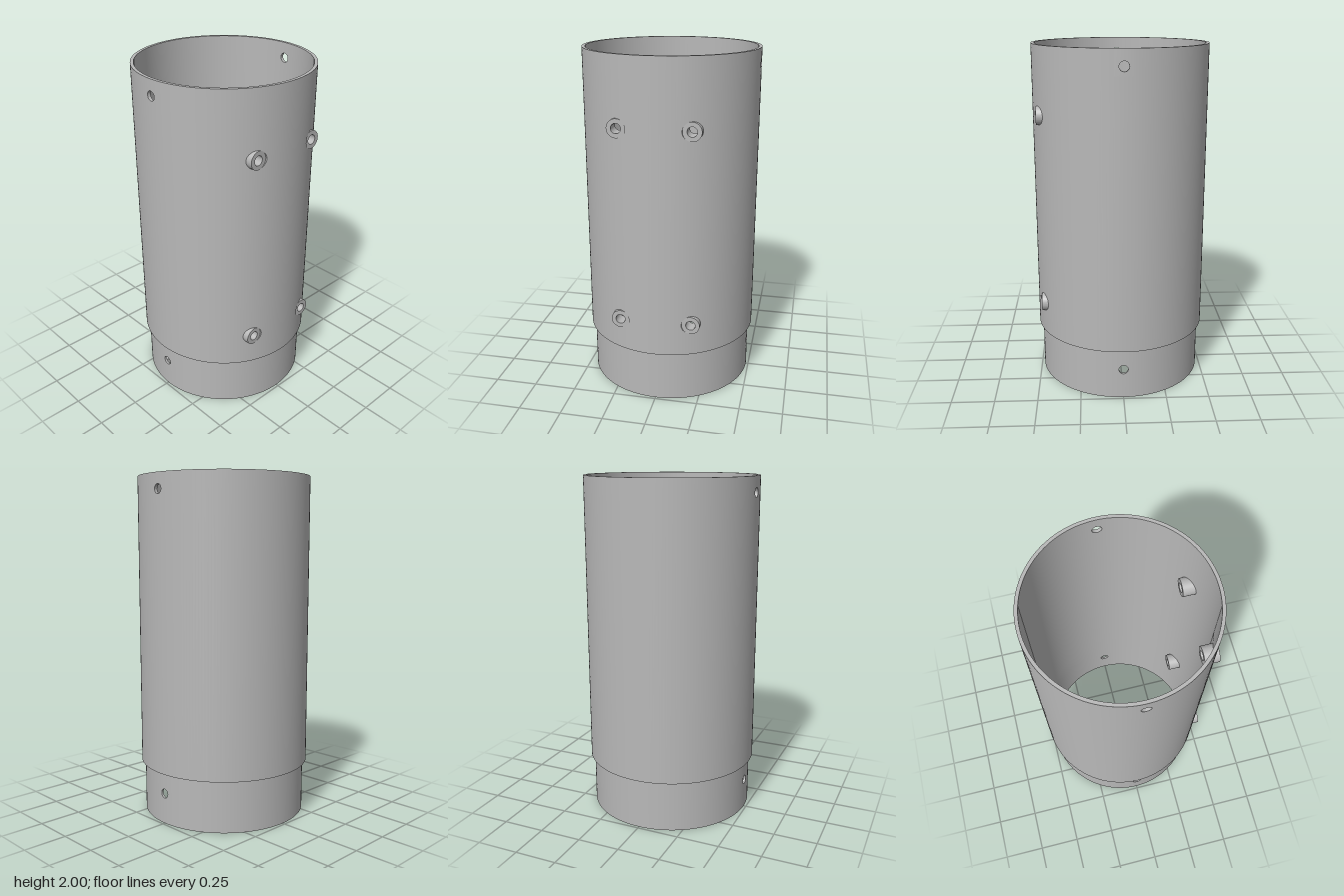
import * as THREE from 'three';

const D = Math.PI / 180, STEP = 2;

// Holes: axis direction, sideways offset, height, radius, and the wall patch around them (degrees, half height)
const pinHoles = (y) => [0, 180].map((axis) => (
  { axis, s: 0, y, rho: 0.027, a0: axis - 6, a1: axis + 6, h: 0.05 }));
const bossHoles = [];
for (const y of [0.495, 1.615]) {
  bossHoles.push({ axis: 90, s: -0.205, y, rho: 0.0525, a0: 56, a1: 76, h: 0.06 });
  bossHoles.push({ axis: 90, s: 0.205, y, rho: 0.0525, a0: 104, a1: 124, h: 0.06 });
}

// Points [angle, height] of a hole's rim on a cylinder of radius r
function rim(hole, r) {
  const n = 4 * (hole.a1 - hole.a0) / STEP, pts = [];
  for (let i = 0; i <= n; i++) {
    const t = (i / n) * 2 * Math.PI - 0.75 * Math.PI;
    pts.push([hole.axis * D + Math.asin((hole.s + hole.rho * Math.cos(t)) / r), hole.y + hole.rho * Math.sin(t)]);
  }
  return pts;
}

// Rectangular border of a hole's patch, matching the rim point for point
function border(hole) {
  const k = (hole.a1 - hole.a0) / STEP, pts = [];
  const c = [[hole.a0, -1], [hole.a1, -1], [hole.a1, 1], [hole.a0, 1], [hole.a0, -1]];
  for (let e = 0; e < 4; e++) for (let i = 0; i < k; i++) {
    const f = i / k;
    pts.push([(c[e][0] + (c[e + 1][0] - c[e][0]) * f) * D, hole.y + hole.h * (c[e][1] + (c[e + 1][1] - c[e][1]) * f)]);
  }
  pts.push(pts[0]);
  return pts;
}

const onWall = ([a, y], r) => [r * Math.sin(a), y, r * Math.cos(a)];

// Round wall skin from y0 to y1, pierced by holes; facing is 1 outwards, -1 inwards
function skin(r0, r1, y0, y1, holes, facing) {
  const pos = [], nor = [];
  const quad = (a, b, c, d) => {
    for (const p of facing > 0 ? [a, b, c, a, c, d] : [a, c, b, a, d, c]) {
      pos.push(...onWall(p, r0 + (r1 - r0) * (p[1] - y0) / (y1 - y0)));
      nor.push(facing * Math.sin(p[0]), 0, facing * Math.cos(p[0]));
    }
  };
  for (let deg = -10; deg < 350; deg += STEP) {
    const cuts = holes.filter((h) => deg >= h.a0 && deg < h.a1).sort((a, b) => a.y - b.y);
    const ys = [y0, ...cuts.flatMap((h) => [h.y - h.h, h.y + h.h]), y1];
    const a = deg * D, b = (deg + STEP) * D;
    for (let i = 0; i < ys.length; i += 2) quad([a, ys[i]], [b, ys[i]], [b, ys[i + 1]], [a, ys[i + 1]]);
  }
  for (const h of holes) {
    const o = border(h), n = rim(h, r0);
    for (let i = 0; i + 1 < o.length; i++) quad(o[i], o[i + 1], n[i + 1], n[i]);
  }
  const g = new THREE.BufferGeometry();
  g.setAttribute('position', new THREE.Float32BufferAttribute(pos, 3));
  g.setAttribute('normal', new THREE.Float32BufferAttribute(nor, 3));
  return g;
}

// Inside of a hole through the wall
function liner(hole, rIn, rOut) {
  const o = rim(hole, rOut).map((p) => onWall(p, rOut)), n = rim(hole, rIn).map((p) => onWall(p, rIn));
  const pos = [];
  for (let i = 0; i + 1 < o.length; i++) {
    pos.push(...o[i], ...o[i + 1], ...n[i + 1], ...o[i], ...n[i + 1], ...n[i]);
  }
  const g = new THREE.BufferGeometry();
  g.setAttribute('position', new THREE.Float32BufferAttribute(pos, 3));
  g.computeVertexNormals();
  return g;
}

function flatRing(rIn, rOut, y, up) {
  return new THREE.RingGeometry(rIn, rOut, 180).rotateX(up ? -Math.PI / 2 : Math.PI / 2).translate(0, y, 0);
}

// U-shaped loop with filleted feet, lying flat against the inner wall
function loopBracket(height) {
  const c = 0.493, R = 0.18, r = 0.13, s = new THREE.Shape();
  const aOut = Math.atan2(0.402 - c, 0.155), aIn = Math.atan2(0.43 - c, 0.114);
  s.moveTo(0.203, 0.434);
  s.lineTo(0.198, 0.428);
  s.quadraticCurveTo(0.168, 0.436, R * Math.cos(aOut), c + R * Math.sin(aOut));
  s.absarc(0, c, R, aOut, -Math.PI - aOut, true);
  s.quadraticCurveTo(-0.168, 0.436, -0.198, 0.428);
  s.lineTo(-0.203, 0.434);
  s.lineTo(-0.15, 0.455);
  s.lineTo(-0.092, 0.468);
  s.lineTo(-0.092, 0.463);
  s.quadraticCurveTo(-0.122, 0.455, -r * Math.cos(aIn), c + r * Math.sin(aIn));
  s.absarc(0, c, r, -Math.PI - aIn, aIn, false);
  s.quadraticCurveTo(0.122, 0.455, 0.092, 0.463);
  s.lineTo(0.092, 0.468);
  s.lineTo(0.15, 0.455);
  s.closePath();
  return new THREE.ExtrudeGeometry(s, { depth: height, bevelEnabled: false, curveSegments: 40 })
    .rotateX(Math.PI / 2).translate(0, height, 0).rotateY(-40.4 * D);
}

export function createModel() {
  const model = new THREE.Group();
  const grey = new THREE.MeshStandardMaterial({ color: 0xb8b8b8 });
  grey.name = 'grey';
  const add = (name, geometry) => {
    const mesh = new THREE.Mesh(geometry, grey);
    mesh.name = name;
    model.add(mesh);
    return mesh;
  };

  // Radii and heights of the tube
  const top = 2, step = 0.305, cone = 0.4;
  const R = 0.507, Ri = 0.488, S = 0.485, Si = 0.472;
  const upperPins = pinHoles(1.91), lowerPins = pinHoles(0.18);
  const upper = [...upperPins, ...bossHoles];

  // Tube body
  add('bodyOuterWall', skin(R, R, step, top, upper, 1));
  add('bodyInnerWall', skin(Ri, Ri, cone, top, upper, -1));
  add('bodyTopRim', flatRing(Ri, R, top, true));
  add('bodyStep', flatRing(S, R, step, false));
  add('innerTaper', skin(Si, Ri, step, cone, [], -1));

  // Narrower joining collar at the bottom
  add('collarOuterWall', skin(S, S, 0, step, lowerPins, 1));
  add('collarInnerWall', skin(Si, Si, 0, step, lowerPins, -1));
  add('collarBottomRim', flatRing(Si, S, 0, false));

  // Hole linings
  for (const h of upper) add('holeLining', liner(h, Ri, R));
  for (const h of lowerPins) add('pinHoleLining', liner(h, Si, S));

  // Four screw bosses through the side wall
  const bossShape = new THREE.Shape().absarc(0, 0, 0.0525, 0, Math.PI * 2);
  bossShape.holes.push(new THREE.Path().absarc(0, 0, 0.0275, 0, Math.PI * 2, true));
  const bossGeometry = new THREE.ExtrudeGeometry(bossShape, { depth: 0.085, bevelEnabled: false, curveSegments: 40 })
    .rotateY(Math.PI / 2);
  for (const h of bossHoles) add('screwBoss', bossGeometry).position.set(0.39, h.y, -h.s);

  // Loop at the inside of the bottom edge
  add('loopBracket', loopBracket(0.04));

  return model;
}
